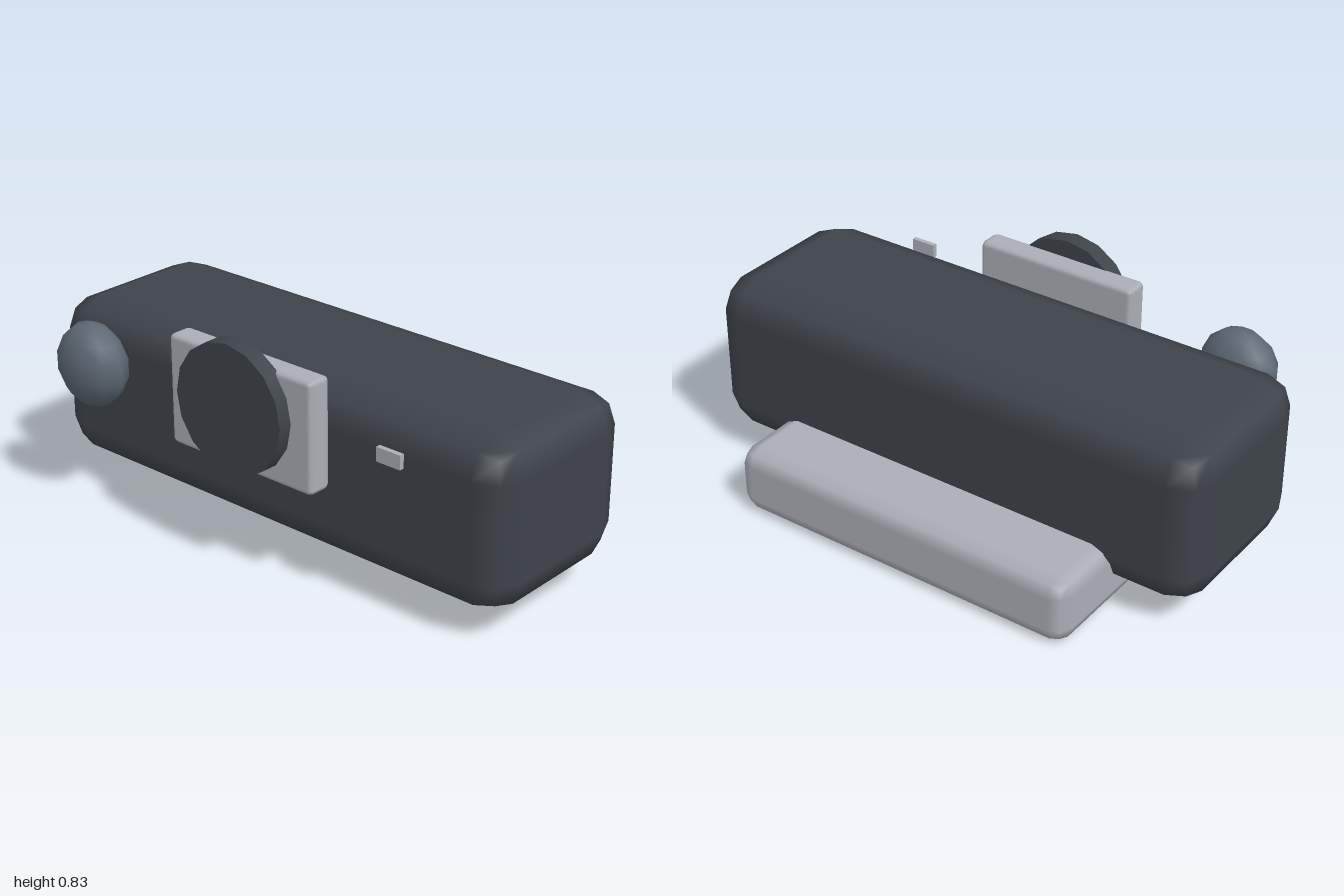
import * as THREE from 'three';
import { RoundedBoxGeometry } from 'three/addons/geometries/RoundedBoxGeometry.js';

export function createModel() {
  const model = new THREE.Group();
  const material = (name, color) => {
    const m = new THREE.MeshStandardMaterial({ color });
    m.name = name;
    return m;
  };
  const charcoal = material('charcoal', 0x3e434a);
  const silver = material('silver', 0xabaeb6);
  const slate = material('slate', 0x5c6874);

  const add = (name, geometry, mat, x, y, z) => {
    const mesh = new THREE.Mesh(geometry, mat);
    mesh.name = name;
    mesh.position.set(x, y, z);
    model.add(mesh);
    return mesh;
  };
  // Box with a coarse two-facet rounded edge
  const rounded = (w, h, d, r) => new RoundedBoxGeometry(w, h, d, 1, r);

  // Main housing and the foot that projects behind it
  add('body', rounded(2, 0.6, 0.68, 0.125), charcoal, 0, 0.4, 0.03);
  add('base', rounded(1.365, 0.25, 0.685, 0.0625), silver, 0, 0.125, -0.2235);

  // Front plate carrying the round dial
  add('frontPlate', rounded(0.63, 0.398, 0.093, 0.018), silver, 0, 0.569, 0.4175);
  const disc = new THREE.CylinderGeometry(0.231, 0.231, 0.064, 16).rotateX(Math.PI / 2);
  add('dial', disc, charcoal, 0, 0.601, 0.483);

  // Flattened knob on the model's right
  const knob = add('knob', new THREE.SphereGeometry(1, 10, 7), slate, -0.695, 0.551, 0.468);
  knob.scale.set(0.148, 0.154, 0.103);

  // Small indicator on the model's left
  add('indicator', new THREE.BoxGeometry(0.095, 0.05, 0.018), silver, 0.629, 0.611, 0.451);

  return model;
}
